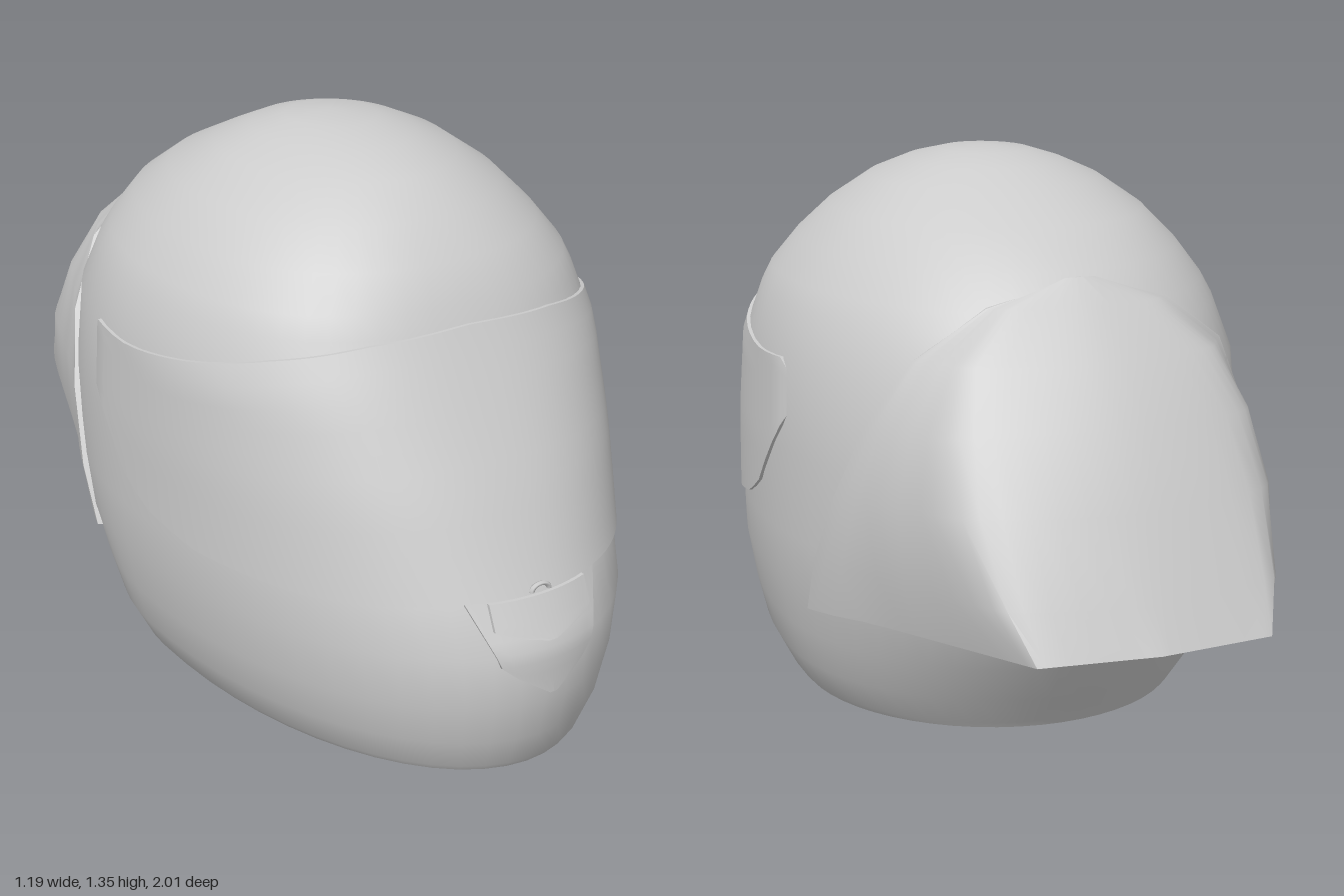
import * as THREE from 'three';
import { toCreasedNormals } from 'three/addons/utils/BufferGeometryUtils.js';

const ZC = 0.05; // depth of the widest section
// height, half width, front z, back z, squareness of the front half
const SECTIONS = [
  [0.005, 0.475, 0.94, -0.45, 2], [0.02, 0.488, 0.95, -0.46, 2], [0.1, 0.53, 0.98, -0.525, 2],
  [0.2, 0.555, 1.0, -0.595, 2], [0.33, 0.58, 1.0, -0.69, 2], [0.45, 0.588, 0.94, -0.73, 2.05],
  [0.66, 0.588, 0.84, -0.75, 2.2], [0.88, 0.58, 0.72, -0.69, 2.35], [1.0, 0.54, 0.655, -0.62, 2.4],
  [1.05, 0.515, 0.635, -0.58, 2.4], [1.13, 0.455, 0.58, -0.515, 2.3], [1.21, 0.38, 0.5, -0.39, 2.15],
  [1.28, 0.28, 0.41, -0.24, 2], [1.32, 0.19, 0.3, -0.15, 2], [1.345, 0.11, 0.18, -0.06, 2],
  [1.355, 0, 0.05, 0.05, 2],
];

// Linear lookup in a table keyed by its first column
function lookup(table, k) {
  let i = 1;
  while (i < table.length - 1 && table[i][0] < k) i++;
  const a = table[i - 1], b = table[i];
  const t = THREE.MathUtils.clamp((k - a[0]) / (b[0] - a[0]), 0, 1);
  return a.map((v, n) => v + (b[n] - v) * t);
}

// Point on the shell at angle a (0 is the front), height y, pushed out by off
function onShell(a, y, off = 0) {
  const [, w, zf, zb, n] = lookup(SECTIONS, y);
  const s = Math.sin(a), c = Math.cos(a);
  const front = c > 0;
  const depth = front ? zf - ZC : ZC - zb;
  const bend = (v) => Math.sign(v) * Math.abs(v) ** (front ? 2 / n : 1);
  return new THREE.Vector3((w + off) * bend(s), y, ZC + (depth + off) * bend(c));
}

// Point on the front of the shell for a given x and y
function onFront(x, y, off) {
  const [, w, zf, , n] = lookup(SECTIONS, y);
  return new THREE.Vector3(x, y, ZC + (zf - ZC) * (1 - Math.abs(x / w) ** n) ** (1 / n) + off);
}

// Grid surface from fn(column, row)
function grid(cols, rows, fn, crease = 0.7) {
  const pos = [], idx = [];
  for (let j = 0; j <= rows; j++)
    for (let i = 0; i <= cols; i++) pos.push(...fn(i, j).toArray());
  for (let j = 0; j < rows; j++)
    for (let i = 0; i < cols; i++) {
      const a = j * (cols + 1) + i, b = a + cols + 1;
      idx.push(a, a + 1, b, a + 1, b + 1, b);
    }
  const g = new THREE.BufferGeometry();
  g.setAttribute('position', new THREE.Float32BufferAttribute(pos, 3));
  g.setIndex(idx);
  return toCreasedNormals(g, crease);
}

export function createModel() {
  const group = new THREE.Group();
  const grey = new THREE.MeshStandardMaterial({ color: 0xcccccc, side: THREE.DoubleSide });
  grey.name = 'light grey';
  const add = (name, geometry) => {
    const mesh = new THREE.Mesh(geometry, grey);
    mesh.name = name;
    group.add(mesh);
    return mesh;
  };

  // Outer shell
  const N = 56;
  const angle = (i) => -Math.PI + (i / N) * Math.PI * 2;
  add('shell', grid(N, SECTIONS.length - 1, (i, j) => onShell(angle(i), SECTIONS[j][0]), 0.9));

  // Rolled bottom rim and hollow lining
  const lining = SECTIONS.slice(2).map((s) => [s[0] * 0.97, -0.05]).reverse();
  lining.push([0.04, -0.055], [0.015, -0.045], [0.002, -0.025], [0.005, 0]);
  add('lining', grid(N, lining.length - 1, (i, j) => {
    const [y, off] = lining[j];
    const w = lookup(SECTIONS, y)[1];
    return onShell(angle(i), y, Math.max(off, -w)).setY(y);
  }, 1.2));

  // Chin curtain closing the front of the neck opening
  add('chinCurtain', grid(24, 3, (i, j) => {
    const a = (i / 12 - 1) * 1.3;
    const p = onShell(a, 0.015 + 0.012 * j, -0.02);
    p.z -= (j / 3) * 0.2 * Math.cos(a);
    return p;
  }));

  // Brow band inside the opening
  const band = [];
  for (let i = 0; i < 24; i++) band.push(onShell((i / 24) * Math.PI * 2, 0.5, -0.1));
  add('browBand', new THREE.TubeGeometry(new THREE.CatmullRomCurve3(band, true), 48, 0.035, 8, true));

  // Visor: angle, lower edge, upper edge
  const VISOR = [
    [0, 0.455, 1.005], [0.4, 0.45, 0.99], [0.82, 0.438, 0.955], [1.22, 0.45, 0.91],
    [1.42, 0.485, 0.89], [1.53, 0.53, 0.88], [1.62, 0.62, 0.88], [1.74, 0.72, 0.885],
    [1.8, 0.78, 0.83],
  ];
  const VC = 56, VR = 12;
  add('visor', grid(VC, VR, (i, j) => {
    const a = (i / VC * 2 - 1) * 1.8;
    const [, lo, hi] = lookup(VISOR, Math.abs(a));
    const t = THREE.MathUtils.clamp((j - 1) / (VR - 2), 0, 1);
    const edge = j === 0 || j === VR || i === 0 || i === VC;
    return onShell(a, lo + (hi - lo) * t, edge ? -0.01 : 0.008);
  }));

  // Chin vent plates: height, left x, right x
  const plate = (name, rows, off) => add(name, grid(12, 10, (i, j) => {
    const y0 = rows[0][0], y1 = rows[rows.length - 1][0];
    const y = y0 + (y1 - y0) * Math.min(Math.max((j - 1) / 8, 0), 1);
    const [, l, r] = lookup(rows, y);
    const t = Math.min(Math.max((i - 1) / 10, 0), 1);
    const edge = i === 0 || i === 12 || j === 0 || j === 10;
    return onFront(l + (r - l) * t, y, edge ? -0.005 : off);
  }));
  plate('chinVent', [[0.22, 0.01, 0.03], [0.3, -0.11, 0.14], [0.455, -0.17, 0.2]], 0.006);
  plate('chinVentFlap', [[0.355, 0.005, 0.025], [0.385, -0.12, 0.15], [0.45, -0.12, 0.15]], 0.015);

  // Visor latch
  const latch = add('visorLatch', new THREE.TorusGeometry(0.024, 0.007, 6, 10, Math.PI));
  latch.position.set(0.015, 0.455, 0.945);
  latch.scale.y = 0.7;

  // Rear spoiler: side edge y, z; corner x, y, z; centre y, z; roundness (bottom to top)
  const SPOILER = [
    [0.28, -0.17, 0.285, 0.36, -0.97, 0.36, -1.0, 0],
    [0.42, -0.235, 0.325, 0.47, -0.9, 0.46, -0.95, 0.25],
    [0.6, -0.32, 0.345, 0.65, -0.79, 0.65, -0.87, 0.5],
    [0.78, -0.4, 0.325, 0.81, -0.705, 0.82, -0.785, 0.5],
    [0.94, -0.465, 0.265, 0.95, -0.635, 0.95, -0.695, 0.5],
    [1.06, -0.51, 0.15, 1.06, -0.57, 1.06, -0.6, 0.5],
    [1.12, -0.53, 0.03, 1.12, -0.533, 1.12, -0.535, 0.5],
  ];
  const V = (x, y, z) => new THREE.Vector3(x, y, z);
  const curves = SPOILER.map(([ey, ez, mx, my, mz, cy, cz, round]) => {
    const [, w, , zb] = lookup(SECTIONS, ey);
    const ex = w * Math.sqrt(Math.max(0, 1 - ((ez - ZC) / (zb - ZC)) ** 2));
    const push = 0.04 * round;
    const half = [V(ex, ey, ez), V((ex + mx) / 2 + push, (ey + my) / 2, (ez + mz) / 2), V(mx, my, mz)];
    const other = half.map((p) => V(-p.x, p.y, p.z)).reverse();
    return new THREE.CatmullRomCurve3([...half, V(0, cy, cz), ...other], false, 'catmullrom', round);
  });
  // Keep the spoiler just outside the shell
  const clear = (p) => {
    const [, w, , zb] = lookup(SECTIONS, p.y);
    const r = Math.hypot(p.x / w, (p.z - ZC) / (zb - ZC));
    const s = Math.max(1, 1.022 / r);
    return V(p.x * s, p.y, ZC + (p.z - ZC) * s);
  };
  const SC = 36;
  add('spoiler', grid(SC, SPOILER.length - 1, (i, j) => clear(curves[j].getPoint(i / SC)), 0.8));

  // Front lip joining the spoiler edge to the shell
  for (const end of [0, 1]) {
    add(end ? 'spoilerLipRight' : 'spoilerLipLeft', grid(1, SPOILER.length - 1, (i, j) => {
      const p = clear(curves[j].getPoint(end));
      return i === end ? V(p.x * 0.96, p.y, ZC + (p.z - ZC) * 0.96) : p;
    }));
  }

  return group;
}
